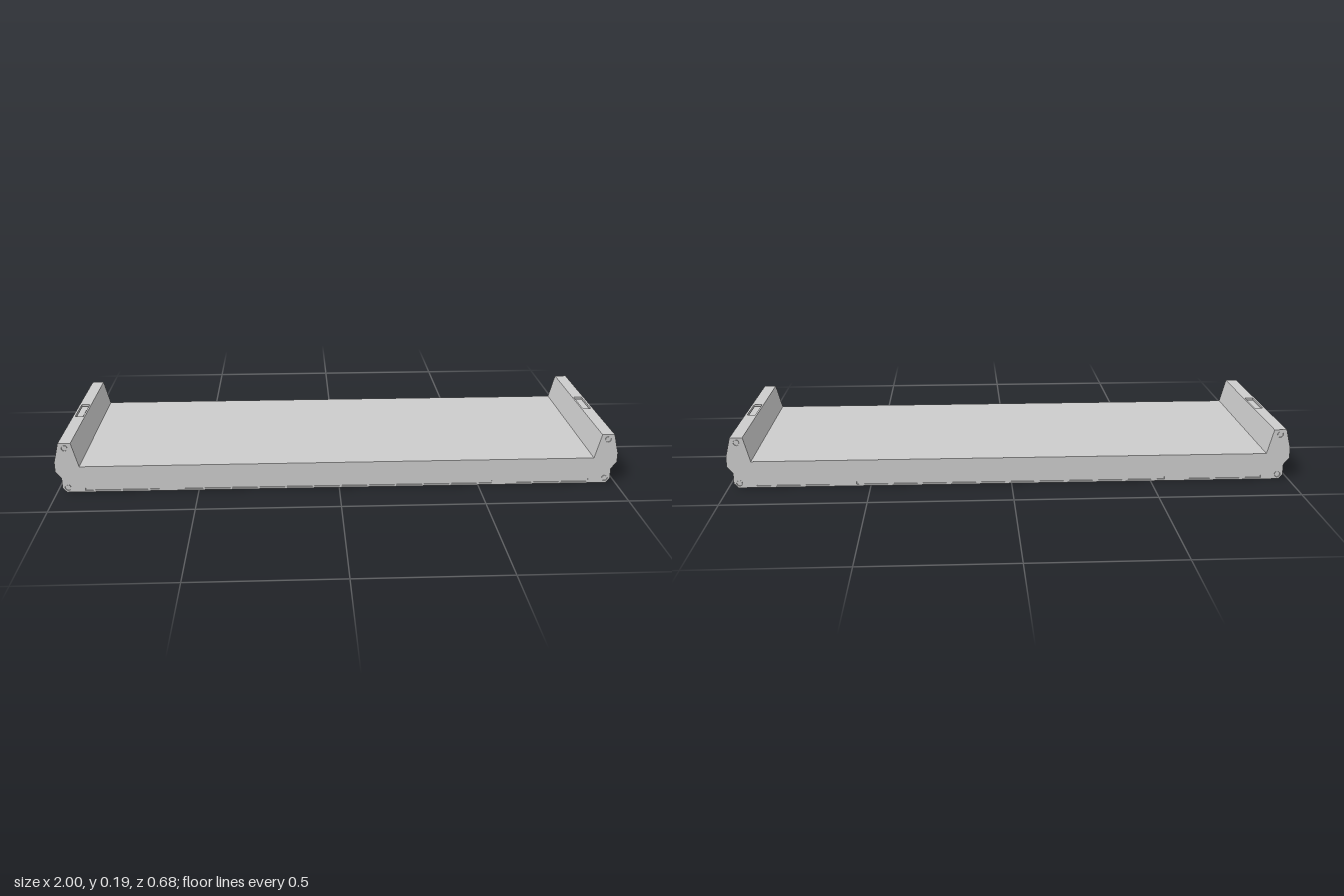
import * as THREE from 'three';

const HALF_DEPTH = 0.34, PLATE = 0.004, RECESS = 0.067;
const SCREWS = [[0.96, 0.018], [0.96, 0.168]];
const SLOTS = [[-0.9, -0.64], [-0.55, 0.55], [0.64, 0.9]];

// right half of the cross-section, from the bottom to the inner foot of the rail
const outer = [[0.965, 0], [0.98, 0.017], [0.98, 0.055], [1, 0.08], [1, 0.115], [0.982, 0.186]];
const inner = [[0.938, 0.186], [0.915, 0.097]];
const notch = [[0.974, 0.186], [0.974, 0.168], [0.944, 0.168], [0.944, 0.186]];

function profile(withNotch) {
  const half = [...outer, ...(withNotch ? notch : []), ...inner];
  const mirrored = half.map(([x, y]) => [-x, y]).reverse();
  return new THREE.Shape([...half, ...mirrored].map(([x, y]) => new THREE.Vector2(x, y)));
}

export function createModel() {
  const group = new THREE.Group();
  const material = new THREE.MeshStandardMaterial({ color: 0xcccccc, flatShading: true });

  const add = (name, geometry, x = 0, y = 0, z = 0) => {
    const mesh = new THREE.Mesh(geometry, material);
    mesh.name = name;
    mesh.position.set(x, y, z);
    group.add(mesh);
    return mesh;
  };
  const extrude = (name, shape, z0, z1) =>
    add(name, new THREE.ExtrudeGeometry(shape, { depth: z1 - z0, bevelEnabled: false, curveSegments: 10 }), 0, 0, z0);

  // tray body, with a recess in the top of both rails at mid length
  const end = HALF_DEPTH - PLATE;
  extrude('trayBack', profile(false), -end, -RECESS);
  extrude('trayMiddle', profile(true), -RECESS, RECESS);
  extrude('trayFront', profile(false), RECESS, end);

  // end plates with slots along the bottom and screw holes
  const plate = profile(false);
  for (const [x0, x1] of SLOTS) {
    plate.holes.push(new THREE.Path([[x0, 0.006], [x0, 0.016], [x1, 0.016], [x1, 0.006]]
      .map(([x, y]) => new THREE.Vector2(x, y))));
  }
  for (const side of [-1, 1]) {
    for (const [x, y] of SCREWS) {
      plate.holes.push(new THREE.Path().absarc(side * x, y, 0.011, 0, Math.PI * 2, true));
    }
  }
  extrude('frontPlate', plate, end, HALF_DEPTH);
  extrude('backPlate', plate, -HALF_DEPTH, -end);

  for (const side of [-1, 1]) {
    // screw heads sunk into the plates
    for (const [x, y] of SCREWS) {
      for (const face of [-1, 1]) {
        const screw = new THREE.CylinderGeometry(0.009, 0.009, 0.003, 16).rotateX(Math.PI / 2);
        add('screwHead', screw, side * x, y, face * (end + 0.0012));
      }
    }
    // grip lying in the rail recess
    add('grip', new THREE.BoxGeometry(0.024, 0.014, 0.112), side * 0.959, 0.175, 0);
  }
  return group;
}
